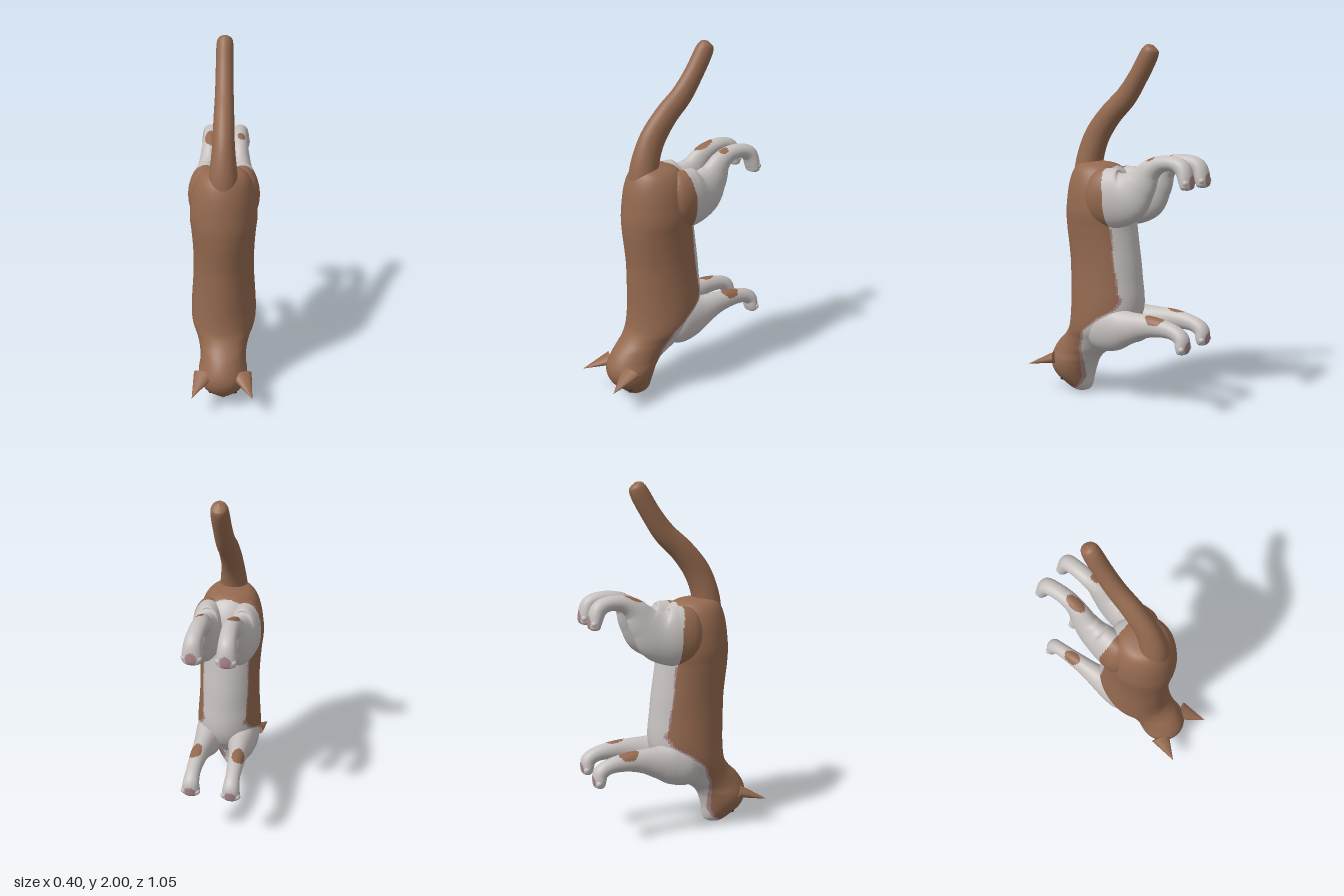
import * as THREE from 'three';

const mat = (name, color) => Object.assign(new THREE.MeshStandardMaterial({ color }), { name });

// Piecewise-linear lookup in a list of [key, value], keys ascending
function lookup(list, k) {
  for (let i = 1; i < list.length; i++) {
    if (k <= list[i][0]) {
      const [k0, v0] = list[i - 1], [k1, v1] = list[i];
      return v0 + (v1 - v0) * Math.max(0, (k - k0) / (k1 - k0));
    }
  }
  return list[list.length - 1][1];
}

// Depth at which brown back fur meets the white belly, by height
const furLine = [[0, 0.31], [0.06, 0.23], [0.1, 0.21], [0.3, 0.185], [0.42, 0.13], [0.5, 0.03],
  [0.55, -0.055], [0.6, -0.085], [0.8, -0.05], [1.0, -0.03], [1.2, -0.02], [1.34, 0.01], [1.4, 0.03]];

// 0 brown, 1 white, 2 pink
function coat(p) {
  const d = p.z - lookup(furLine, p.y);
  if (d > 0) return 0;
  const edge = p.y < 0.62 ? 0.016 : p.y < 1 ? 0.007 : 0;
  return d > -edge ? 2 : 1;
}

// Smooth loft through elliptical sections [x, y, z, half width, half depth]
function loft(keys, rings, sides, rule, level = false) {
  const centre = new THREE.CatmullRomCurve3(keys.map(k => new THREE.Vector3(k[0], k[1], k[2])), false, 'catmullrom', 0.5);
  const radius = new THREE.CatmullRomCurve3(keys.map(k => new THREE.Vector3(k[3], k[4], 0)), false, 'catmullrom', 0.5);
  const pts = [];
  for (let i = 0; i <= rings; i++) {
    const t = i / rings, c = centre.getPoint(t), r = radius.getPoint(t);
    const dir = level ? new THREE.Vector3(0, -1, 0) : centre.getTangent(t).setX(0).normalize();
    for (let j = 0; j < sides; j++) {
      const a = (j / sides) * Math.PI * 2, s = Math.max(r.y, 0.001) * Math.sin(a);
      pts.push(new THREE.Vector3(c.x + Math.max(r.x, 0.001) * Math.cos(a), c.y - s * dir.z, c.z + s * dir.y));
    }
  }
  // Sort triangles into one group per colour
  const faces = [[], [], []], mid = new THREE.Vector3();
  const tri = (a, b, c) => {
    mid.copy(pts[a]).add(pts[b]).add(pts[c]).divideScalar(3);
    faces[rule(mid)].push(a, b, c);
  };
  for (let i = 0; i < rings; i++) {
    for (let j = 0; j < sides; j++) {
      const k = (j + 1) % sides, a = i * sides, b = a + sides;
      tri(a + j, b + j, a + k);
      tri(a + k, b + j, b + k);
    }
  }
  const geo = new THREE.BufferGeometry().setFromPoints(pts);
  geo.setIndex(faces.flat());
  let start = 0;
  faces.forEach((f, i) => { if (f.length) geo.addGroup(start, f.length, i); start += f.length; });
  geo.computeVertexNormals();
  return geo;
}

export function createModel() {
  const cat = new THREE.Group();
  cat.name = 'cat';
  const brown = mat('brownFur', 0x94694f), white = mat('whiteFur', 0xc6c1bf);
  const pink = mat('pinkSkin', 0xa98689), dark = mat('darkEye', 0x2a211d);
  const fur = [brown, white, pink];
  const add = (name, geo, material) => {
    const m = new THREE.Mesh(geo, material);
    m.name = name;
    cat.add(m);
    return m;
  };
  const ball = (name, material, r, x, y, z, sx = 1, sy = 1, sz = 1) => {
    const m = add(name, new THREE.SphereGeometry(r, 16, 12), material);
    m.position.set(x, y, z);
    m.scale.set(sx, sy, sz);
  };

  // Torso, neck and head: [y, back z, belly z, half width]
  const trunk = [
    [1.37, 0.19, 0.13, 0.01], [1.34, 0.26, 0.01, 0.115], [1.25, 0.3, -0.06, 0.165], [1.1, 0.32, -0.09, 0.185],
    [1.0, 0.32, -0.1, 0.178], [0.9, 0.31, -0.115, 0.172], [0.8, 0.3, -0.13, 0.17], [0.7, 0.297, -0.14, 0.173],
    [0.6, 0.295, -0.15, 0.18], [0.52, 0.295, -0.145, 0.185], [0.45, 0.3, -0.12, 0.185], [0.4, 0.312, -0.085, 0.175],
    [0.35, 0.345, -0.05, 0.152], [0.3, 0.395, 0.01, 0.135], [0.25, 0.43, 0.1, 0.13], [0.2, 0.448, 0.15, 0.138],
    [0.15, 0.445, 0.172, 0.134], [0.1, 0.42, 0.185, 0.115], [0.05, 0.365, 0.19, 0.08], [0.02, 0.33, 0.2, 0.052],
    [0.004, 0.3, 0.23, 0.028], [0, 0.266, 0.264, 0.001],
  ].map(([y, b, f, w]) => [0, y, (b + f) / 2, w, (b - f) / 2]);
  add('bodyAndHead', loft(trunk, 190, 96, coat, true), fur);

  // Tail
  add('tail', loft([
    [0, 1.22, 0.2, 0.09, 0.09], [0, 1.36, 0.195, 0.075, 0.08], [0, 1.5, 0.145, 0.06, 0.075],
    [0, 1.62, 0.055, 0.055, 0.067], [0, 1.72, -0.05, 0.05, 0.062], [0, 1.83, -0.13, 0.048, 0.055],
    [0, 1.94, -0.195, 0.046, 0.052], [0, 1.98, -0.212, 0.035, 0.038], [0, 1.995, -0.22, 0.001, 0.001],
  ], 60, 28, () => 0), fur);

  const hind = [
    [0.09, 1.17, 0.14, 0.06, 0.09], [0.1, 1.17, 0.06, 0.095, 0.155], [0.1, 1.17, -0.04, 0.09, 0.165],
    [0.095, 1.19, -0.13, 0.074, 0.145], [0.09, 1.25, -0.2, 0.06, 0.1], [0.084, 1.325, -0.255, 0.05, 0.065],
    [0.08, 1.365, -0.32, 0.046, 0.046], [0.083, 1.372, -0.4, 0.044, 0.04], [0.087, 1.345, -0.46, 0.047, 0.044],
    [0.088, 1.28, -0.485, 0.053, 0.038], [0.088, 1.245, -0.487, 0.045, 0.028], [0.088, 1.235, -0.487, 0.001, 0.001],
  ];
  const fore = [
    [0.09, 0.43, 0.14, 0.06, 0.08], [0.1, 0.43, 0.05, 0.085, 0.13], [0.1, 0.44, -0.05, 0.08, 0.125],
    [0.1, 0.455, -0.13, 0.07, 0.095], [0.105, 0.475, -0.22, 0.055, 0.07], [0.11, 0.485, -0.32, 0.046, 0.054],
    [0.112, 0.475, -0.42, 0.041, 0.043], [0.113, 0.445, -0.475, 0.045, 0.042], [0.113, 0.4, -0.485, 0.05, 0.037],
    [0.113, 0.37, -0.487, 0.042, 0.027], [0.113, 0.36, -0.487, 0.001, 0.001],
  ];

  // Leg with a brown spot [x, z, half width, half length] on its upper side and a pink sole
  function leg(name, keys, side, spot, spotY) {
    const [px, py, pz] = keys[keys.length - 3];
    const rule = p => {
      const x = p.x * side;
      if (p.y > spotY && Math.hypot((x - spot[0]) / spot[2], (p.z - spot[1]) / spot[3]) < 1) return 0;
      if (p.z < pz - 0.02 && Math.hypot((x - px) / 0.03, (p.y - py) / 0.035) < 1) return 2;
      return coat(p) === 0 ? 0 : coat(p);
    };
    add(name, loft(keys.map(([x, ...k]) => [x * side, ...k]), 110, 48, rule), fur);
    for (let i = 0; i < 4; i++) {
      const o = i - 1.5;
      ball(name + 'Toe', white, 0.018, side * px + o * 0.025, py - 0.016 + Math.abs(o) * 0.008, pz - 0.012);
    }
  }

  for (const side of [1, -1]) {
    const s = side > 0 ? 'left' : 'right';
    leg(s + 'HindLeg', hind, side, side > 0 ? [0.093, -0.272, 0.022, 0.028] : [0.082, -0.262, 0.032, 0.058], 1.33);
    leg(s + 'ForeLeg', fore, side, [0.122, -0.315, 0.036, 0.055], 0.503);

    // Ear: flattened cone leaning outward
    const base = new THREE.Vector3(side * 0.108, 0.205, 0.375), tip = new THREE.Vector3(side * 0.168, 0.155, 0.527);
    const up = tip.clone().sub(base), len = up.length();
    up.normalize();
    const thick = new THREE.Vector3(0, 1, 0).addScaledVector(up, -up.y).normalize();
    const wide = up.clone().cross(thick);
    const ear = add(s + 'Ear', new THREE.ConeGeometry(1, 1, 28, 6), brown);
    ear.quaternion.setFromRotationMatrix(new THREE.Matrix4().makeBasis(wide, up, thick));
    ear.scale.set(0.06, len, 0.032);
    ear.position.copy(base).add(tip).multiplyScalar(0.5);

    // Eye
    ball(s + 'Eye', dark, 0.014, side * 0.066, 0.073, 0.35, 1.2, 0.8, 0.9);
  }

  // Nose
  ball('nose', pink, 0.016, 0, 0.017, 0.312, 1.1, 0.8, 0.9);
  return cat;
}
